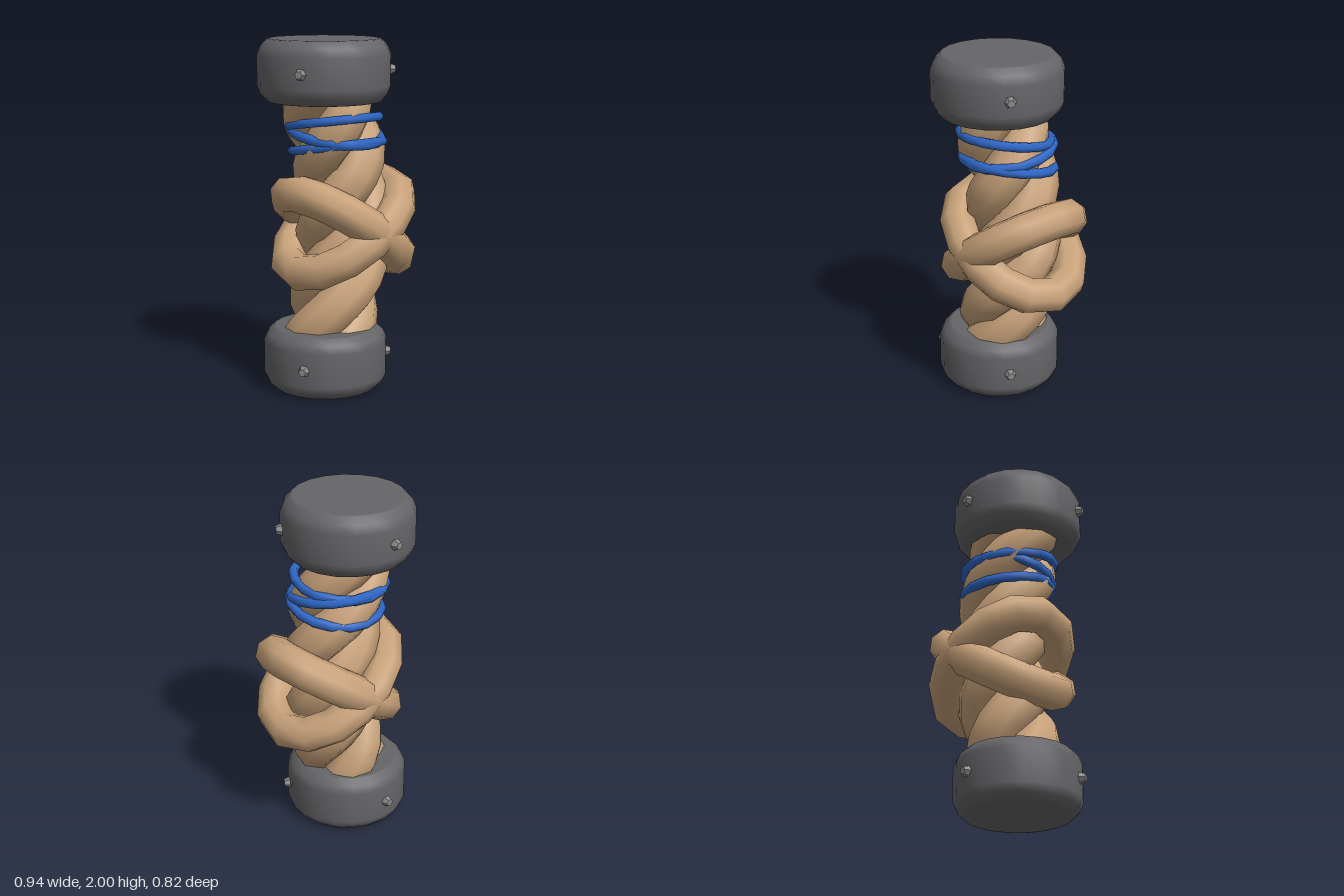
import * as THREE from 'three';

const mat = (color, flatShading = false) => new THREE.MeshStandardMaterial({ color, flatShading });

// Samples a function of t (0..1) into a smooth curve
function curveFrom(fn, steps, closed = false) {
  const pts = [];
  for (let i = 0; i < (closed ? steps : steps + 1); i++) pts.push(fn(i / steps));
  return new THREE.CatmullRomCurve3(pts, closed);
}

export function createModel() {
  const model = new THREE.Group();
  const rope = mat(0xc8a27a), cord = mat(0x2f68c8), metal = mat(0x656568), bolt = mat(0x8a8a8c, true);
  const add = (parent, name, geometry, material) => {
    const mesh = new THREE.Mesh(geometry, material);
    mesh.name = name;
    parent.add(mesh);
    return mesh;
  };

  // End caps with bevelled rims, each with three bolts
  function endCap(name, x, y, r, h, bevel) {
    const cap = new THREE.Group();
    cap.name = name;
    cap.position.set(x, y, 0);
    const half = [[r - 0.07, 0], [r - 0.055, 0.003], [r - 0.02, bevel * 0.45], [r, bevel]];
    const profile = [[0, 0], ...half, ...half.map(([a, b]) => [a, h - b]).reverse(), [0, h]];
    add(cap, name + 'Body', new THREE.LatheGeometry(profile.map(p => new THREE.Vector2(...p)), 20), metal);
    for (let i = 0; i < 3; i++) {
      const a = Math.PI / 6 + i * Math.PI * 2 / 3;
      const pivot = new THREE.Group();
      pivot.rotation.y = -a;
      cap.add(pivot);
      const head = add(pivot, 'bolt', new THREE.CylinderGeometry(0.022, 0.04, 0.05, 6), bolt);
      head.rotation.z = -Math.PI / 2;
      head.position.set(r + 0.004, h / 2, 0);
    }
    model.add(cap);
  }
  endCap('bottomCap', -0.085, 0, 0.355, 0.355, 0.08);
  endCap('topCap', -0.09, 1.65, 0.375, 0.35, 0.09);

  // Three thick strands twisted around a slightly bowed axis
  const y0 = 0.2, y1 = 1.75, pitch = 1.0;
  for (let k = 0; k < 3; k++) {
    const strand = curveFrom(t => {
      const y = y0 + (y1 - y0) * t;
      const a = -2 * Math.PI * ((y - 0.5) / pitch + k / 3);
      const axis = -0.1 + 0.15 * Math.sin(Math.PI * t);
      return new THREE.Vector3(axis + 0.14 * Math.cos(a), y, 0.14 * Math.sin(a));
    }, 18);
    add(model, 'twistedStrand', new THREE.TubeGeometry(strand, 24, 0.135, 8), rope);
  }

  // Two tilted loops that cross at the front and back
  for (const s of [1, -1]) {
    const loop = curveFrom(t => {
      const a = t * Math.PI * 2;
      return new THREE.Vector3(0.05 + 0.325 * Math.cos(a), 0.917 + s * 0.225 * Math.cos(a), 0.315 * Math.sin(a));
    }, 28, true);
    add(model, 'crossingLoop', new THREE.TubeGeometry(loop, 14, 0.105, 8, true), rope);
  }

  // Thin cord bindings: x centre, height at the front, height at the back
  for (const [x, front, back] of [[-0.025, 1.572, 1.495], [-0.005, 1.42, 1.507], [0.005, 1.432, 1.345]]) {
    const binding = curveFrom(t => {
      const a = t * Math.PI * 2, z = Math.sin(a);
      return new THREE.Vector3(x + 0.257 * Math.cos(a), (front + back) / 2 + z * (front - back) / 2, 0.257 * z);
    }, 16, true);
    add(model, 'cordBinding', new THREE.TubeGeometry(binding, 16, 0.028, 6, true), cord);
  }
  return model;
}
